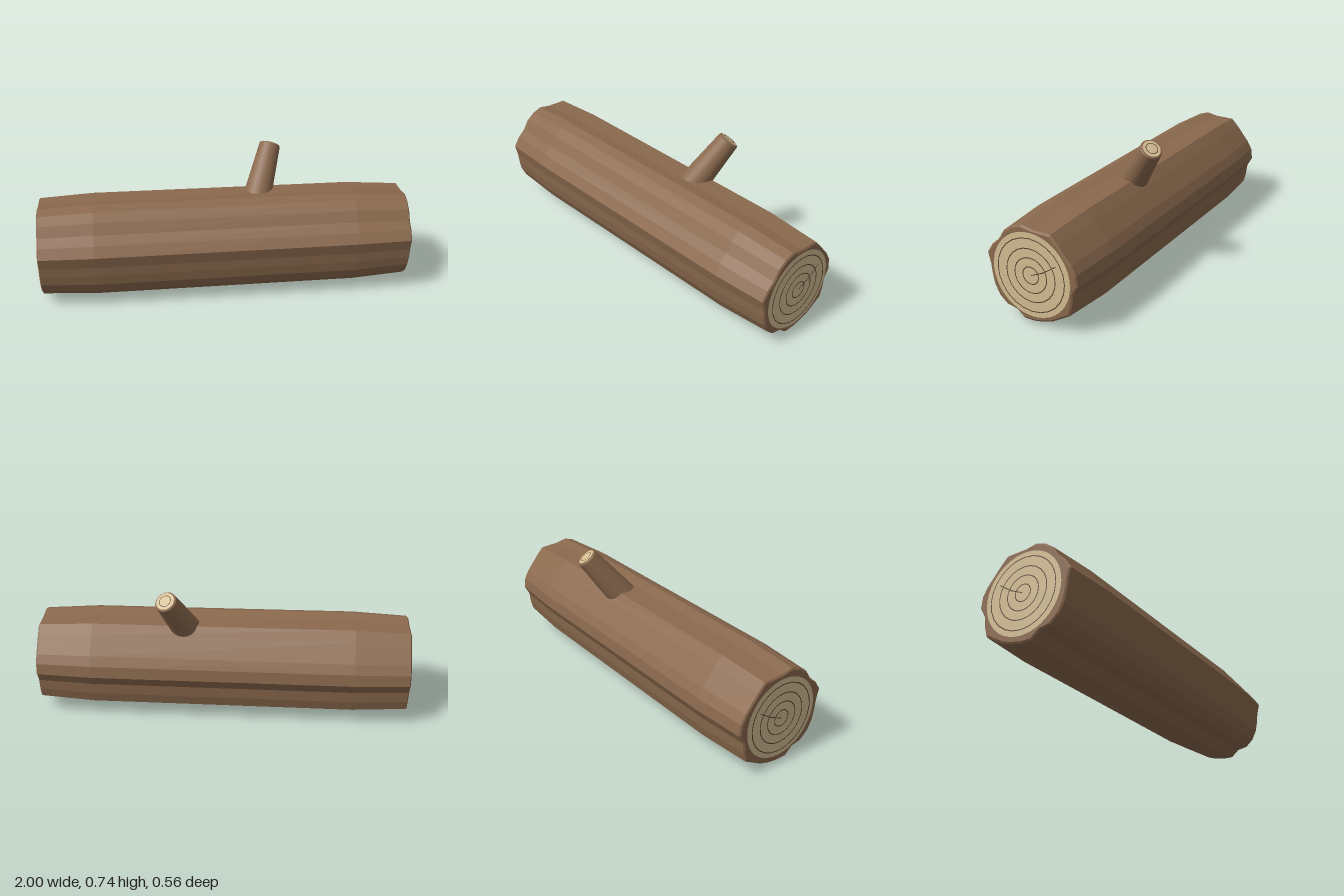
import * as THREE from 'three';

const CY = 0.267, CZ = 0.005;

// Lumpy bark cross-section as [z, y], running over the top from front to back
const PROFILE = [
  [0.283, 0.330], [0.249, 0.383], [0.204, 0.423], [0.170, 0.478], [0.120, 0.514],
  [0.065, 0.533], [-0.004, 0.520], [-0.117, 0.516], [-0.162, 0.468], [-0.235, 0.378],
  [-0.263, 0.328], [-0.271, 0.265], [-0.241, 0.210], [-0.233, 0.147], [-0.217, 0.090],
  [-0.111, 0.029], [-0.055, 0.011], [0.004, 0.001], [0.065, 0.001], [0.113, 0.042],
  [0.174, 0.054], [0.221, 0.096], [0.249, 0.152], [0.261, 0.210], [0.267, 0.265],
];

// Stations along the trunk as [x, scale]; scale 0 closes the ends
const STATIONS = [
  [-0.994, 0], [-0.994, 0.91], [-0.988, 0.945], [-0.7, 1],
  [0.7, 0.985], [0.988, 0.915], [0.994, 0.88], [0.994, 0],
];

function trunkGeometry() {
  const pos = [];
  const point = (s, p) => [s[0], CY + (p[1] - CY) * s[1], CZ + (p[0] - CZ) * s[1]];
  for (let i = 0; i < STATIONS.length - 1; i++) {
    const s = STATIONS[i], t = STATIONS[i + 1];
    PROFILE.forEach((p, j) => {
      const q = PROFILE[(j + 1) % PROFILE.length];
      const a = point(s, p), b = point(t, p), c = point(t, q), d = point(s, q);
      if (t[1] > 0) pos.push(...a, ...b, ...c);
      if (s[1] > 0) pos.push(...a, ...c, ...d);
    });
  }
  const g = new THREE.BufferGeometry();
  g.setAttribute('position', new THREE.Float32BufferAttribute(pos, 3));
  g.computeVertexNormals();
  return g;
}

export function createModel() {
  const bark = new THREE.MeshStandardMaterial({ color: 0x8b6a4e });
  bark.name = 'bark';
  const wood = new THREE.MeshStandardMaterial({ color: 0xd4be94 });
  wood.name = 'cut wood';
  const grain = new THREE.MeshStandardMaterial({ color: 0x5a4330 });
  grain.name = 'grain';

  const add = (parent, name, geometry, material, z = 0) => {
    const mesh = new THREE.Mesh(geometry, material);
    mesh.name = name;
    mesh.position.z = z;
    parent.add(mesh);
    return mesh;
  };
  const growthRing = (r, w) => new THREE.RingGeometry(r - w, r + w, 24);

  const model = new THREE.Group();
  model.name = 'log';
  add(model, 'trunk', trunkGeometry(), bark);

  // Sawn faces with growth rings and a drying crack at both ends
  for (const side of [1, -1]) {
    const end = new THREE.Group();
    end.name = side > 0 ? 'leftEnd' : 'rightEnd';
    end.position.set(side * 0.994, CY, CZ);
    end.rotation.y = side * Math.PI / 2;
    add(end, 'cutFace', new THREE.CircleGeometry(0.216, 48), wood, 0.003);
    for (const r of [0.044, 0.09, 0.137, 0.188]) {
      add(end, 'growthRing', growthRing(r, 0.0025), grain, 0.006);
    }
    const crack = [[0, 0.002], [0.07, 0.034], [0.142, 0.082], [0.143, 0.078], [0.072, 0.029], [0.001, -0.002]];
    const shape = new THREE.Shape(crack.map(([x, y]) => new THREE.Vector2(x * side, y)));
    add(end, 'crack', new THREE.ShapeGeometry(shape), grain, 0.006);
    model.add(end);
  }

  // Leaning branch stub, tapered, with a small chamfer at its cut tip
  const root = new THREE.Vector3(0.164, 0.39, -0.01);
  const tip = new THREE.Vector3(0.286, 0.711, -0.235);
  const length = root.distanceTo(tip);
  const branch = new THREE.Group();
  branch.name = 'branch';
  branch.position.copy(root);
  branch.quaternion.setFromUnitVectors(new THREE.Vector3(0, 1, 0), tip.clone().sub(root).normalize());
  const bodyTop = length - 0.006;
  const body = add(branch, 'branchBody', new THREE.CylinderGeometry(0.058, 0.084, bodyTop, 24, 1, true), bark);
  body.position.y = bodyTop / 2;
  const rim = add(branch, 'branchRim', new THREE.CylinderGeometry(0.053, 0.058, 0.006, 24), bark);
  rim.position.y = length - 0.003;

  const cut = new THREE.Group();
  cut.name = 'branchCut';
  cut.position.y = length;
  cut.rotation.x = -Math.PI / 2;
  add(cut, 'branchCutFace', new THREE.CircleGeometry(0.048, 24), wood, 0.002);
  add(cut, 'branchRing', growthRing(0.031, 0.002), grain, 0.004);
  branch.add(cut);
  model.add(branch);

  return model;
}
